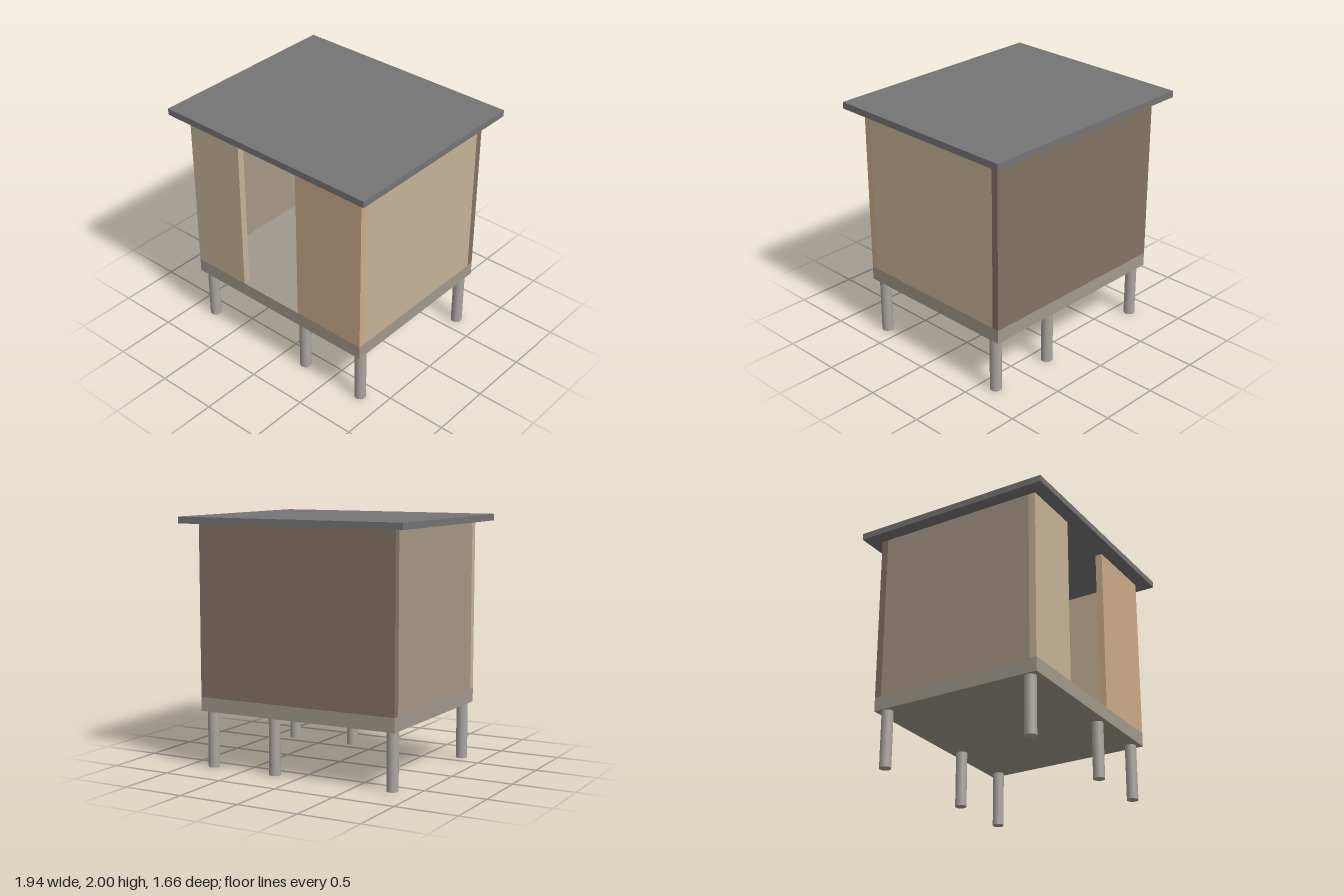
import * as THREE from 'three';

const material = (color) => new THREE.MeshStandardMaterial({ color });

export function createModel() {
  const model = new THREE.Group();

  // Box given by its extent along each axis
  const addBox = (name, [x0, x1], [y0, y1], [z0, z1], color) => {
    const mesh = new THREE.Mesh(new THREE.BoxGeometry(x1 - x0, y1 - y0, z1 - z0), material(color));
    mesh.position.set((x0 + x1) / 2, (y0 + y1) / 2, (z0 + z1) / 2);
    mesh.name = name;
    model.add(mesh);
  };

  const W = 0.857, D = 0.714; // half width and half depth of the cabin
  const T = 0.057; // wall thickness
  const legTop = 0.46, floorTop = 0.573, wallTop = 1.947;
  const wallY = [floorTop, wallTop];
  const sideZ = [-D + T, D - T];

  // Floor slab and overhanging flat roof
  addBox('floor', [-W, W], [legTop, floorTop], [-D, D], 0xa0998c);
  addBox('roof', [-0.971, 0.971], [wallTop, 2], [-0.828, 0.828], 0x757575);

  // Walls: full-width back, sides between, two front panels beside the doorway
  addBox('backWall', [-W, W], wallY, [-D, -D + T], 0x847264);
  addBox('leftWall', [W - T, W], wallY, sideZ, 0xc7b397);
  addBox('rightWall', [-W, -W + T], wallY, sideZ, 0xa89785);
  addBox('frontRightPanel', [-W, -0.35], wallY, [D - T, D], 0xc7b397);
  addBox('frontLeftPanel', [0.229, W], wallY, [D - T, D], 0xcbab8a);

  // Six round stilts in two rows
  const legGeometry = new THREE.CylinderGeometry(0.046, 0.046, legTop, 24);
  const legMaterial = material(0xaaa59f);
  for (const x of [-0.8, 0.227, 0.8]) {
    for (const z of [-0.63, 0.63]) {
      const leg = new THREE.Mesh(legGeometry, legMaterial);
      leg.position.set(x, legTop / 2, z);
      leg.name = 'leg';
      model.add(leg);
    }
  }

  return model;
}
